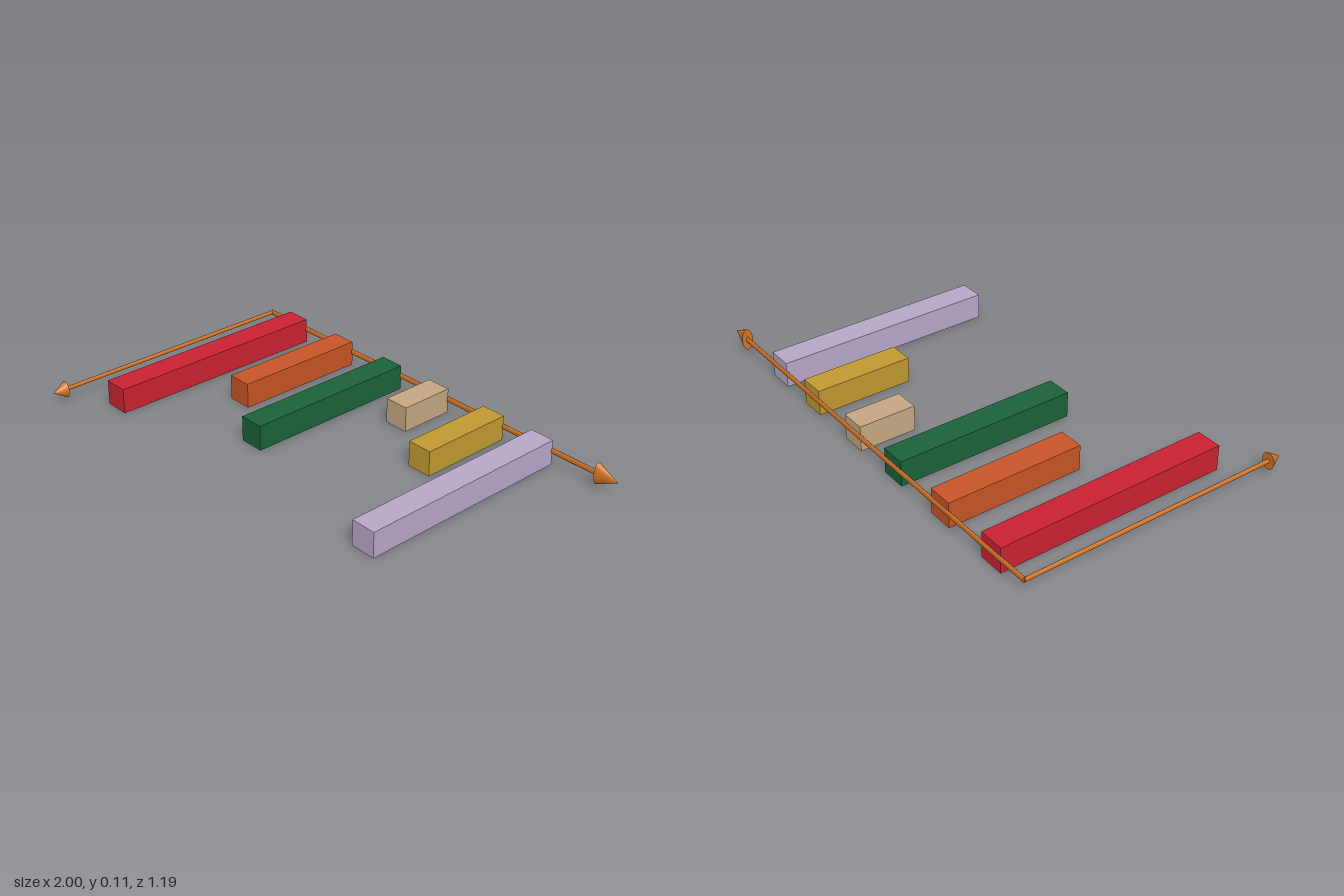
import * as THREE from 'three';

const AXIS_Y = 0.061;
const BACK_Z = -0.573;
const LEFT_X = -0.973;

// Arrow along +y from the origin: shaft plus cone head, before scaling and turning
function makeArrow(name, material, length, headLength, shaftRadius, headRadius) {
  const arrow = new THREE.Group();
  arrow.name = name;
  const shaftLength = length - headLength;
  const shaft = new THREE.Mesh(
    new THREE.CylinderGeometry(shaftRadius, shaftRadius, shaftLength, 24), material);
  shaft.name = name + 'Shaft';
  shaft.position.y = shaftLength / 2;
  const head = new THREE.Mesh(new THREE.ConeGeometry(headRadius, headLength, 32), material);
  head.name = name + 'Head';
  head.position.y = shaftLength + headLength / 2;
  arrow.add(shaft, head);
  return arrow;
}

export function createModel() {
  const model = new THREE.Group();
  model.name = 'barChart';

  // Bars lying on the ground: centre x, front end z, colour
  const bars = [
    ['redBar', -0.79, 0.415, 0xcc2233],
    ['orangeBar', -0.491, 0.01, 0xc85528],
    ['greenBar', -0.192, 0.193, 0x1a6238],
    ['tanBar', 0.08, -0.332, 0xc6a882],
    ['goldBar', 0.38, -0.16, 0xc29a32],
    ['lavenderBar', 0.631, 0.368, 0xb8a8ca],
  ];
  const size = 0.108;
  for (const [name, x, frontZ, color] of bars) {
    const length = frontZ - BACK_Z;
    const bar = new THREE.Mesh(
      new THREE.BoxGeometry(size, size, length),
      new THREE.MeshStandardMaterial({ color }));
    bar.name = name;
    bar.position.set(x, size / 2, BACK_Z + length / 2);
    model.add(bar);
  }

  // Axis arrows meeting at the back corner, with oval cross-sections
  const axisMaterial = new THREE.MeshStandardMaterial({ color: 0xcf7328 });

  const baseline = makeArrow('baselineAxis', axisMaterial, 1.973, 0.096, 0.0125, 0.047);
  baseline.rotation.z = -Math.PI / 2;
  baseline.scale.z = 0.51;
  baseline.position.set(LEFT_X, AXIS_Y, BACK_Z);

  const valueAxis = makeArrow('valueAxis', axisMaterial, 1.17, 0.058, 0.009, 0.036);
  valueAxis.rotation.x = Math.PI / 2;
  valueAxis.scale.x = 0.8;
  valueAxis.position.set(LEFT_X, AXIS_Y, BACK_Z);

  model.add(baseline, valueAxis);
  return model;
}
